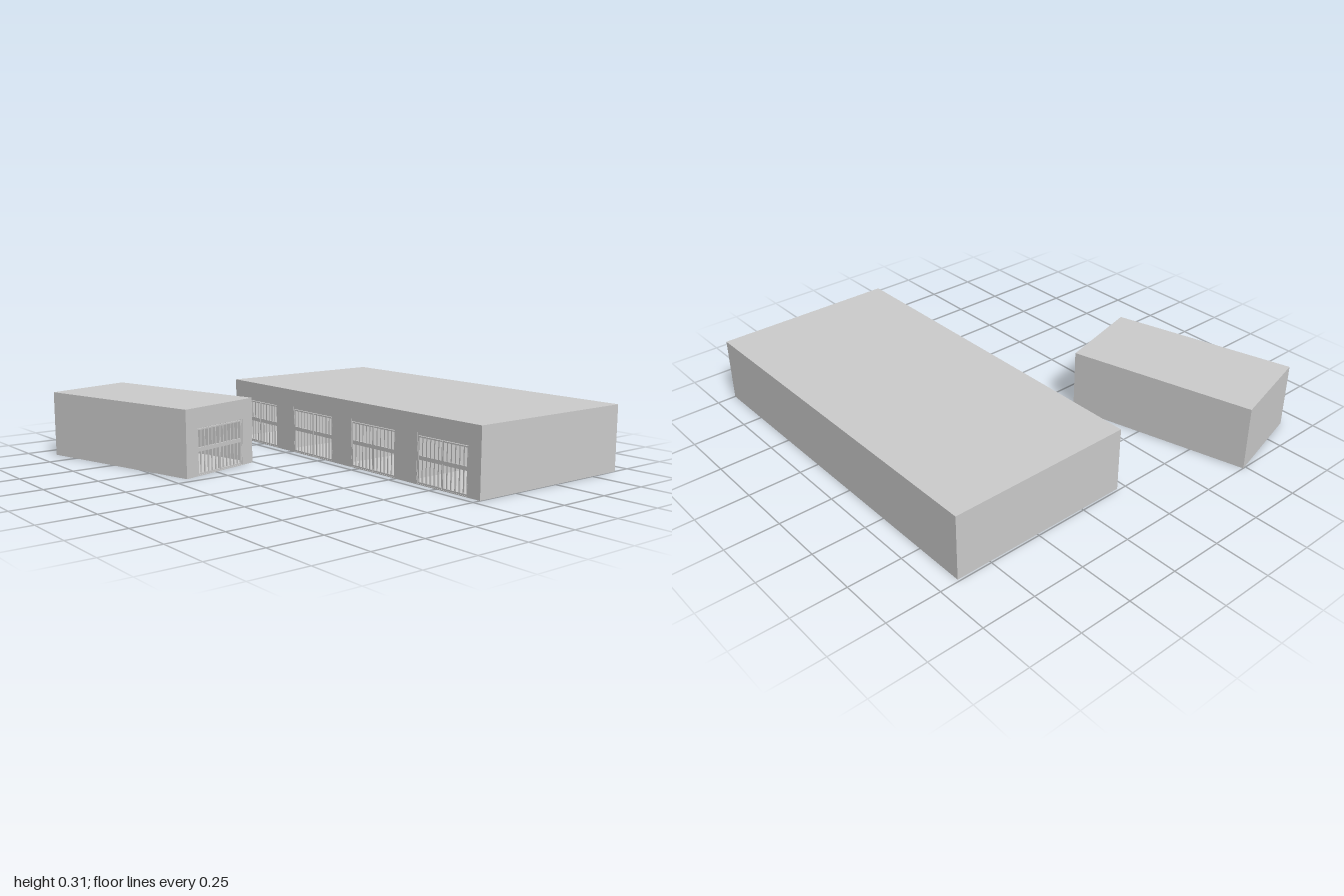
import * as THREE from 'three';

const BAY = 0.435, DEPTH = 0.87, HEIGHT = 0.305, WALL = 0.012;
const DOOR_W = 0.3, DOOR_H = 0.225;
const grey = new THREE.MeshStandardMaterial({ color: 0xcccccc });

function box(parent, name, w, h, d, x, y, z) {
  const mesh = new THREE.Mesh(new THREE.BoxGeometry(w, h, d), grey);
  mesh.name = name;
  mesh.position.set(x, y, z);
  parent.add(mesh);
  return mesh;
}

// One barred leaf, hinged at its outer edge; side is -1 or +1
function gateLeaf(side) {
  const leaf = new THREE.Group();
  leaf.name = side < 0 ? 'rightGateLeaf' : 'leftGateLeaf';
  const w = DOOR_W / 2 - 0.007, cx = side * (w / 2 + 0.001), top = 0.21;
  for (const [y, h] of [[0.007, 0.008], [0.117, 0.018], [top - 0.003, 0.006]])
    box(leaf, 'rail', w, h, 0.008, cx, y, 0);
  for (const e of [-1, 1])
    box(leaf, 'stile', 0.005, top - 0.003, 0.008, cx + e * (w / 2 - 0.0025), top / 2 + 0.0015, 0);
  // Upright bars
  const bars = 5;
  for (let i = 1; i <= bars; i++)
    box(leaf, 'bar', 0.006, top - 0.006, 0.005, cx - w / 2 + (w * i) / (bars + 1), top / 2, 0);
  // Hinges
  for (const y of [0.045, 0.175]) {
    const hinge = new THREE.Mesh(new THREE.CylinderGeometry(0.003, 0.003, 0.016, 8), grey);
    hinge.name = 'hinge';
    hinge.position.set(side * (DOOR_W / 2 - 0.002), y, 0.004);
    leaf.add(hinge);
  }
  return leaf;
}

function gate() {
  const g = new THREE.Group();
  g.name = 'gate';
  // Fixed frame
  box(g, 'frameHead', DOOR_W, 0.012, 0.01, 0, DOOR_H - 0.006, 0);
  for (const s of [-1, 1]) {
    box(g, 'framePost', 0.005, DOOR_H, 0.01, s * (DOOR_W / 2 - 0.0025), DOOR_H / 2, 0);
    g.add(gateLeaf(s));
  }
  return g;
}

// Hollow row of storage bays with gates facing local +z
function garage(name, bays) {
  const g = new THREE.Group();
  g.name = name;
  const w = bays * BAY, inner = HEIGHT - WALL - 0.004;
  const bayX = i => (i + 0.5) * BAY - w / 2;

  // Front wall: one outline notched at every gateway
  const shape = new THREE.Shape();
  shape.moveTo(-w / 2, 0);
  for (let i = 0; i < bays; i++) {
    const a = bayX(i) - DOOR_W / 2, b = bayX(i) + DOOR_W / 2;
    shape.lineTo(a, 0);
    shape.lineTo(a, DOOR_H);
    shape.lineTo(b, DOOR_H);
    shape.lineTo(b, 0);
  }
  shape.lineTo(w / 2, 0);
  shape.lineTo(w / 2, HEIGHT);
  shape.lineTo(-w / 2, HEIGHT);
  const front = new THREE.Mesh(new THREE.ExtrudeGeometry(shape, { depth: WALL, bevelEnabled: false }), grey);
  front.name = 'frontWall';
  front.position.z = DEPTH / 2 - WALL;
  g.add(front);

  // Shell behind the front wall
  const d = DEPTH - WALL, z = -WALL / 2;
  box(g, 'roof', w, WALL, d, 0, HEIGHT - WALL / 2, z);
  box(g, 'floor', w, 0.004, DEPTH, 0, 0.002, 0);
  box(g, 'backWall', w, inner, WALL, 0, 0.004 + inner / 2, -DEPTH / 2 + WALL / 2);
  // Outer side walls and the partitions between bays
  for (let i = 0; i <= bays; i++) {
    const shift = i === 0 ? WALL / 2 : i === bays ? -WALL / 2 : 0;
    box(g, i % bays ? 'partition' : 'sideWall', WALL, inner, d - WALL,
      i * BAY - w / 2 + shift, 0.004 + inner / 2, 0);
  }
  for (let i = 0; i < bays; i++) {
    const door = gate();
    door.position.set(bayX(i), 0, DEPTH / 2 - 0.007);
    g.add(door);
  }
  return g;
}

export function createModel() {
  const model = new THREE.Group();
  model.name = 'garages';

  const row = garage('garageRow', 4);
  row.position.set(0.13, 0, -0.475);
  model.add(row);

  // Detached single garage, turned towards the row's forecourt
  const single = garage('singleGarage', 1);
  single.position.set(-0.524, 0, 0.582);
  single.rotation.y = THREE.MathUtils.degToRad(105);
  model.add(single);

  return model;
}
